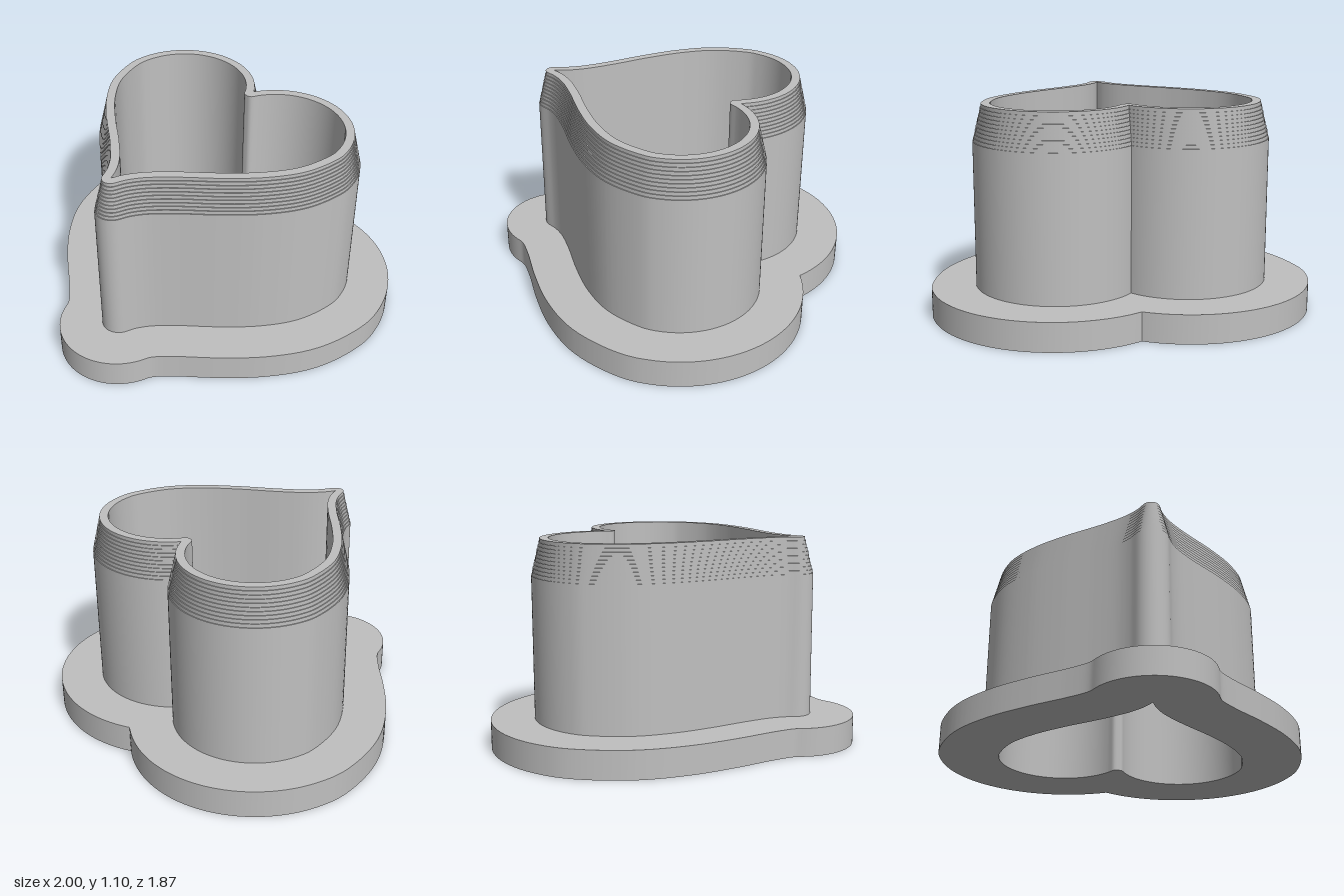
import * as THREE from 'three';
import { toCreasedNormals } from 'three/addons/utils/BufferGeometryUtils.js';

const RAYS = 400;

// Inner heart outline, seen from above as [x, z]
function heartOutline() {
  const half = [[0, -0.42], [0.024, -0.427]];
  const cx = 0.335, cz = -0.28, r = 0.343;
  for (let i = 0; i <= 14; i++) {
    const a = -2.58 + (2.58 * i) / 14;
    half.push([cx + r * Math.cos(a), cz + r * Math.sin(a)]);
  }
  half.push([0.63, -0.09], [0.52, 0.07], [0.37, 0.215], [0.2, 0.355], [0.085, 0.465], [0.025, 0.55], [0, 0.608]);
  const curve = new THREE.CatmullRomCurve3(half.map(([x, z]) => new THREE.Vector3(x, 0, z)));
  const right = curve.getPoints(150).map((p) => [p.x, p.z]);
  const left = right.slice(1, -1).reverse().map(([x, z]) => [-x, z]);
  return right.concat(left);
}

// True when (x, z) lies in the outline or within distance d of it
function covers(outline, x, z, d) {
  let inside = false;
  for (let i = 0, n = outline.length; i < n; i++) {
    const [ax, az] = outline[i], [bx, bz] = outline[(i + 1) % n];
    const ex = bx - ax, ez = bz - az;
    if ((az > z) !== (bz > z) && x < ax + (ex * (z - az)) / ez) inside = !inside;
    const t = Math.min(1, Math.max(0, ((x - ax) * ex + (z - az) * ez) / (ex * ex + ez * ez)));
    if (Math.hypot(x - ax - t * ex, z - az - t * ez) < d) return true;
  }
  return inside;
}

// Ring of points at distance d outside the heart, found along rays from the centre
function offsetRing(outline, d) {
  const ring = [];
  for (let i = 0; i < RAYS; i++) {
    const a = (i / RAYS) * Math.PI * 2, sx = Math.sin(a), sz = Math.cos(a);
    let lo = 0.1, hi = 1.4;
    for (let k = 0; k < 18; k++) {
      const mid = (lo + hi) / 2;
      if (covers(outline, sx * mid, sz * mid, d)) lo = mid; else hi = mid;
    }
    ring.push([sx * lo, sz * lo]);
  }
  return ring;
}

export function createModel() {
  const group = new THREE.Group();
  const plastic = new THREE.MeshStandardMaterial({ color: 0xc0c0c0 });
  plastic.name = 'grey plastic';

  const outline = heartOutline();
  const rings = new Map();
  const ringAt = (d) => {
    if (!rings.has(d)) rings.set(d, offsetRing(outline, d));
    return rings.get(d);
  };

  // Sweeps a profile of [offset, height] points around the heart
  function sweep(name, profile) {
    const pos = [], idx = [];
    for (const [d, y] of profile) for (const [x, z] of ringAt(d)) pos.push(x, y, z);
    for (let i = 0; i < profile.length - 1; i++) {
      for (let j = 0; j < RAYS; j++) {
        const k = (j + 1) % RAYS;
        const a = i * RAYS + j, b = i * RAYS + k;
        idx.push(a, b, b + RAYS, a, b + RAYS, a + RAYS);
      }
    }
    const geo = new THREE.BufferGeometry();
    geo.setAttribute('position', new THREE.Float32BufferAttribute(pos, 3));
    geo.setIndex(idx);
    const mesh = new THREE.Mesh(toCreasedNormals(geo, Math.PI / 6), plastic);
    mesh.name = name;
    group.add(mesh);
  }

  // Wide flange that the wall stands on
  sweep('baseFlange', [[0, 0], [0.322, 0], [0.322, 0.15], [0.092, 0.15]]);

  // Wall with a finely stepped taper to the cutting rim, then down the inside
  const wall = [[0.092, 0.15]];
  const STEPS = 10;
  for (let i = 0; i <= STEPS; i++) {
    const d = 0.092 - (0.046 * i) / STEPS;
    wall.push([d, 0.91 + (0.19 * i) / STEPS]);
    if (i < STEPS) wall.push([0.092 - (0.046 * (i + 1)) / STEPS, 0.91 + (0.19 * i) / STEPS]);
  }
  wall.push([0, 1.1], [0, 0]);
  sweep('cutterWall', wall);

  return group;
}
